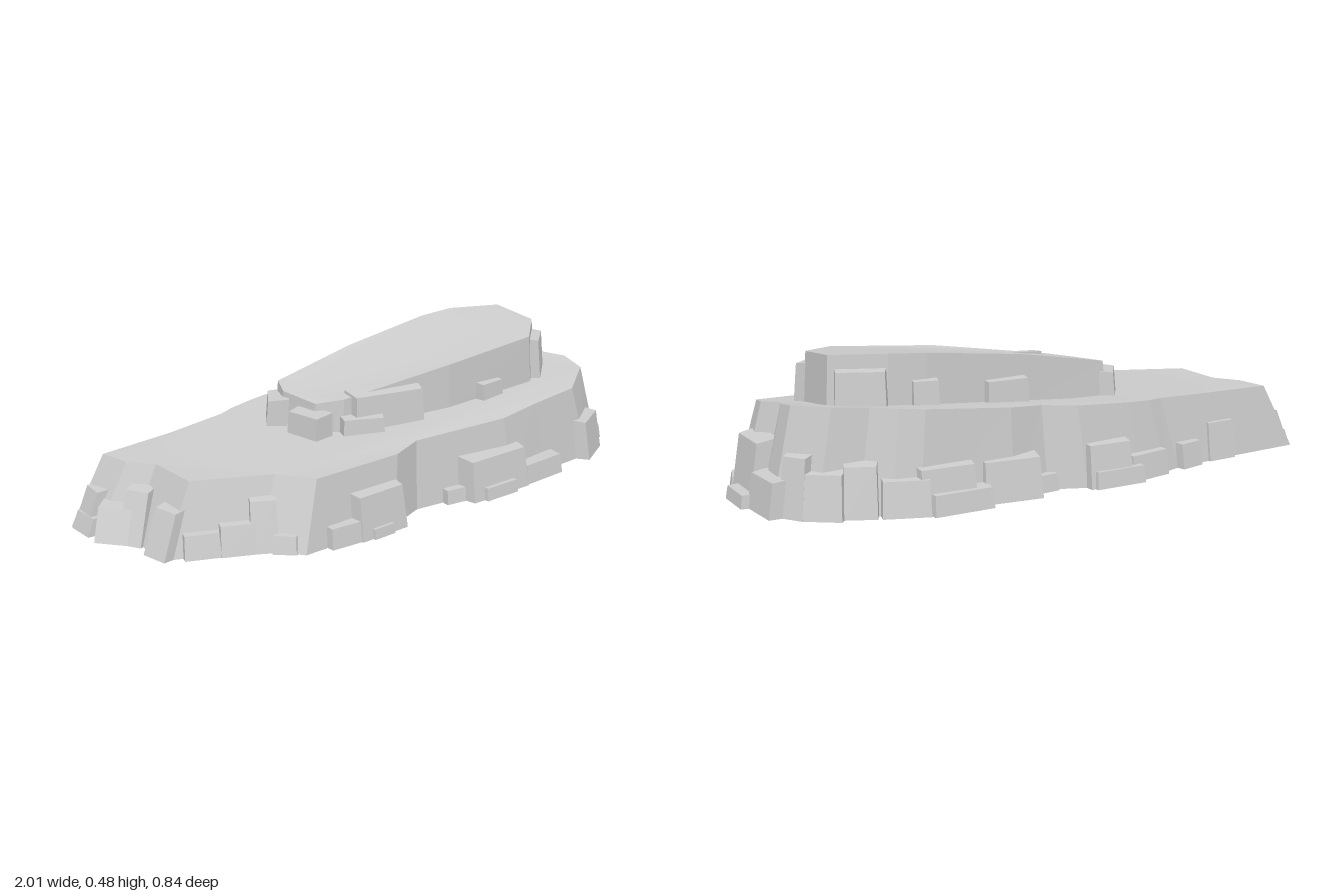
import * as THREE from 'three';

const rock = new THREE.MeshStandardMaterial({ color: 0xcccccc, flatShading: true, side: THREE.DoubleSide });
const smoothRock = new THREE.MeshStandardMaterial({ color: 0xcccccc, side: THREE.DoubleSide });

// Outlines as [x, z], clockwise seen from above
const lowerOutline = [
  [-0.88, -0.26], [-0.62, -0.275], [-0.4, -0.3], [-0.34, -0.32], [-0.24, -0.335], [-0.04, -0.345], [0.07, -0.3],
  [0.2, -0.33], [0.5, -0.33], [0.58, -0.31], [0.65, -0.25], [0.77, -0.235], [0.86, -0.13], [0.86, -0.05],
  [0.83, 0.03], [0.87, 0.1], [0.85, 0.2], [0.7, 0.3], [0.5, 0.31], [0.33, 0.33], [-0.03, 0.29],
  [-0.15, 0.335], [-0.48, 0.34], [-0.56, 0.23], [-0.8, 0.12], [-0.8, -0.07], [-0.86, -0.15]];
const upperOutline = [
  [-0.25, -0.17], [0.08, -0.19], [0.43, -0.205], [0.56, -0.195], [0.73, -0.12], [0.73, 0.06],
  [0.6, 0.175], [0.22, 0.17], [-0.18, 0.1], [-0.26, 0.05], [-0.28, -0.1]];

const lowerTop = (x, z) => 0.25 + 0.05 * x - 0.07 * z - 0.09 * x * z + 0.03 * x * x;
const upperTop = (x, z) => 0.395 + 0.16 * x - 0.09 * x * x - 0.1 * z;

// One terrace: sloping walls under a gently tilted top, open below
function terrace(name, outline, topY, bottomY, centreX, flareX, flareZ) {
  const group = new THREE.Group();
  group.name = name;

  const pos = [];
  const top = ([x, z]) => [x, topY(x, z), z];
  const foot = ([x, z]) => {
    const fx = centreX + (x - centreX) * flareX, fz = z * flareZ;
    return [fx, bottomY(fx, fz), fz];
  };
  outline.forEach((a, i) => {
    const b = outline[(i + 1) % outline.length];
    pos.push(...foot(b), ...foot(a), ...top(a), ...foot(b), ...top(a), ...top(b));
  });
  const wallGeo = new THREE.BufferGeometry();
  wallGeo.setAttribute('position', new THREE.Float32BufferAttribute(pos, 3));
  wallGeo.computeVertexNormals();
  const walls = new THREE.Mesh(wallGeo, rock);
  walls.name = name + 'Walls';

  const lidGeo = new THREE.ShapeGeometry(new THREE.Shape(outline.map(([x, z]) => new THREE.Vector2(x, -z))));
  lidGeo.rotateX(-Math.PI / 2);
  const p = lidGeo.attributes.position;
  for (let i = 0; i < p.count; i++) p.setY(i, topY(p.getX(i), p.getZ(i)));
  lidGeo.computeVertexNormals();
  const lid = new THREE.Mesh(lidGeo, smoothRock);
  lid.name = name + 'Top';

  group.add(walls, lid);
  return group;
}

// Leaning stone block, open below: x, z of its outer foot, facing angle in degrees (0 = +z, 90 = +x)
function block(name, lean, y0, x, z, angle, width, height) {
  const depth = 0.07;
  const geo = new THREE.BoxGeometry(width, height, depth);
  geo.translate(0, height / 2, -depth / 2);
  const p = geo.attributes.position;
  for (let i = 0; i < p.count; i++) {
    const isTop = p.getY(i) > height / 2, isFront = p.getZ(i) > -depth / 2;
    p.setX(i, p.getX(i) * (isTop ? 0.95 : 1) * (isFront ? 0.94 : 1.03));
    if (isTop) p.setZ(i, p.getZ(i) - lean * height);
    if (isTop && isFront) p.setY(i, height * 0.94);
  }
  const index = Array.from(geo.index.array);
  index.splice(18, 6); // underside
  geo.setIndex(index);
  geo.computeVertexNormals();
  const mesh = new THREE.Mesh(geo, rock);
  mesh.name = name;
  mesh.position.set(x, y0, z);
  mesh.rotation.y = THREE.MathUtils.degToRad(angle);
  return mesh;
}

export function createModel() {
  const model = new THREE.Group();
  model.name = 'rockPlateau';
  model.add(
    terrace('lowerTerrace', lowerOutline, lowerTop, () => 0, 0.15, 1.11, 1.1),
    terrace('upperTerrace', upperOutline, upperTop, (x, z) => lowerTop(x, z) - 0.01, 0.23, 1.02, 1.04));

  // lean, then x, z, angle, width, height of each block
  const groundBlocks = {
    frontBlock: [0.15, [
      [-0.38, 0.405, -4, 0.18, 0.07], [-0.26, 0.41, 2, 0.2, 0.15], [-0.27, 0.42, 2, 0.09, 0.035],
      [0.1, 0.365, -8, 0.1, 0.05], [0.26, 0.405, 0, 0.27, 0.145], [0.25, 0.42, 0, 0.15, 0.045],
      [0.48, 0.395, 3, 0.19, 0.07], [0.8, 0.335, 28, 0.17, 0.145], [0.9, 0.25, 50, 0.08, 0.055]]],
    rightBlock: [0.15, [
      [0.965, 0.06, 90, 0.18, 0.21], [1.0, 0.03, 90, 0.15, 0.045], [0.97, -0.11, 94, 0.17, 0.12],
      [0.955, 0.19, 72, 0.1, 0.055], [0.83, -0.285, 145, 0.13, 0.15], [0.905, -0.215, 125, 0.09, 0.2]]],
    backBlock: [0.15, [
      [0.22, -0.395, 174, 0.21, 0.14], [0.41, -0.42, 180, 0.22, 0.07], [0.45, -0.4, 177, 0.2, 0.15],
      [0.59, -0.38, 160, 0.16, 0.12], [0.72, -0.325, 155, 0.11, 0.17], [0.08, -0.36, 185, 0.1, 0.06],
      [-0.17, -0.42, 180, 0.2, 0.06], [-0.14, -0.41, 178, 0.17, 0.15], [-0.31, -0.39, 190, 0.17, 0.09],
      [-0.51, -0.35, 192, 0.1, 0.09], [-0.66, -0.32, 183, 0.12, 0.14]]],
    leftBlock: [0.38, [
      [-1.0, -0.22, 270, 0.11, 0.06], [-0.995, -0.235, 264, 0.09, 0.14], [-0.965, -0.07, 308, 0.14, 0.11],
      [-0.935, -0.03, 298, 0.09, 0.17], [-0.925, 0.1, 280, 0.1, 0.15]]],
    frontLeftBlock: [0.22, [
      [-0.81, 0.2, 336, 0.12, 0.08], [-0.71, 0.25, 335, 0.12, 0.1], [-0.64, 0.285, 330, 0.09, 0.17],
      [-0.6, 0.33, 315, 0.08, 0.06]]]
  };
  for (const [name, [lean, list]] of Object.entries(groundBlocks))
    for (const args of list) model.add(block(name, lean, 0, ...args));

  // x, z, angle, width, height of the top edge
  const ledgeBlocks = [
    [-0.04, 0.175, -14, 0.27, 0.37], [-0.15, 0.17, -25, 0.15, 0.3], [0.4, 0.21, 5, 0.11, 0.325],
    [0.71, 0.14, 40, 0.15, 0.425], [-0.32, 0.05, 280, 0.14, 0.32], [-0.315, -0.155, 235, 0.13, 0.335],
    [0.15, -0.235, 178, 0.16, 0.36], [0.45, -0.24, 168, 0.09, 0.39], [0.66, -0.205, 155, 0.17, 0.435]];
  for (const [x, z, angle, width, topY] of ledgeBlocks) {
    const y0 = lowerTop(x, z) - 0.02;
    model.add(block('ledgeBlock', 0.08, y0, x, z, angle, width, topY - y0));
  }
  return model;
}
